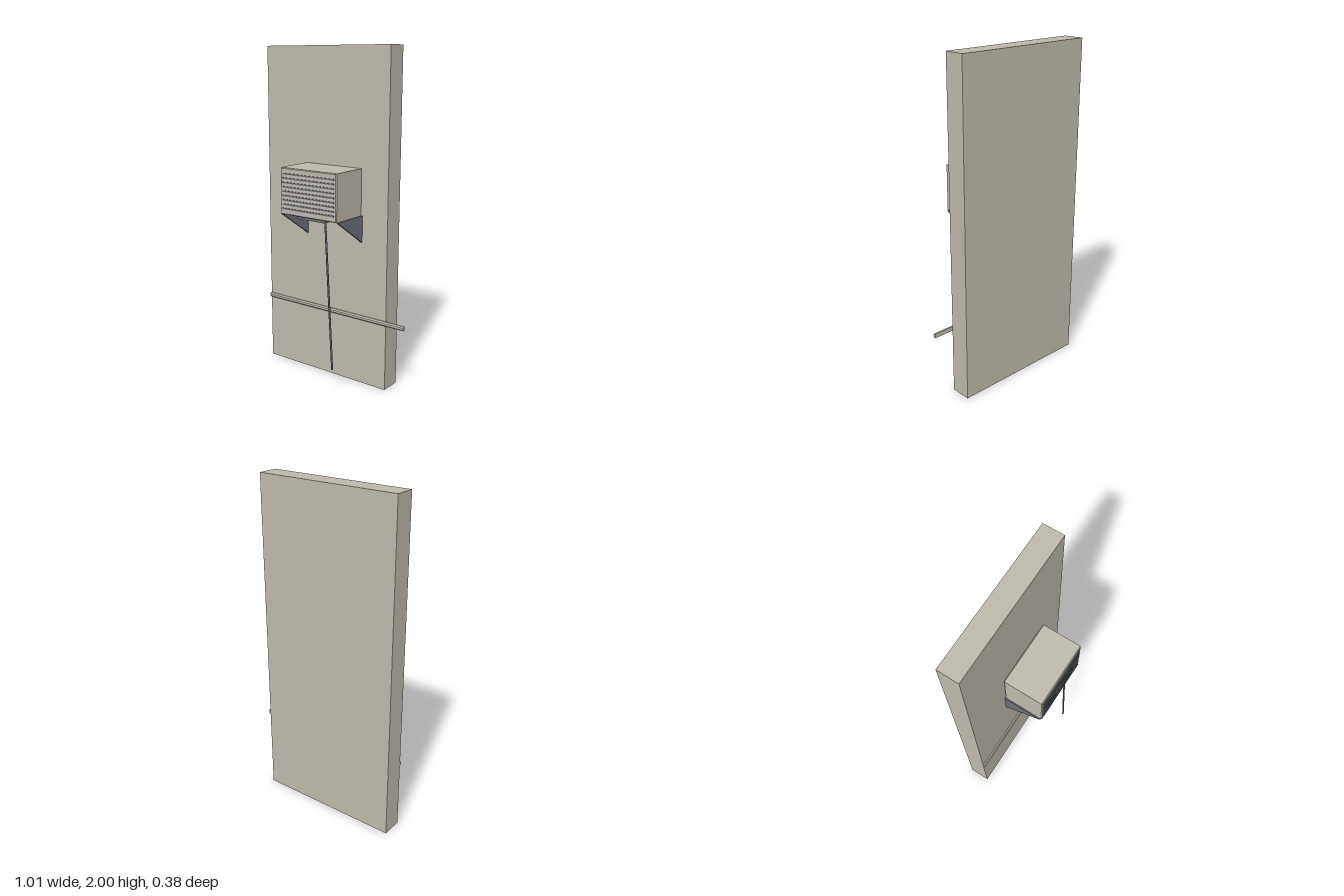
import * as THREE from 'three';

export function createModel() {
  const model = new THREE.Group();
  const beige = new THREE.MeshStandardMaterial({ color: 0xbeb9ac });
  beige.name = 'warm beige';
  const grey = new THREE.MeshStandardMaterial({ color: 0x6c7079 });
  grey.name = 'slate grey';

  const add = (name, geometry, material, x = 0, y = 0, z = 0) => {
    const mesh = new THREE.Mesh(geometry, material);
    mesh.name = name;
    mesh.position.set(x, y, z);
    model.add(mesh);
    return mesh;
  };
  // Box given by its two extreme corners
  const box = (name, material, [x0, y0, z0], [x1, y1, z1]) =>
    add(name, new THREE.BoxGeometry(x1 - x0, y1 - y0, z1 - z0), material,
      (x0 + x1) / 2, (y0 + y1) / 2, (z0 + z1) / 2);
  // Profile in (z, y) extruded along x
  const extrudeX = (points, x0, x1) => {
    const shape = new THREE.Shape(points.map(([z, y]) => new THREE.Vector2(-z, y)));
    const g = new THREE.ExtrudeGeometry(shape, { depth: x1 - x0, bevelEnabled: false });
    return g.rotateY(Math.PI / 2).translate(x0, 0, 0);
  };

  // Wall slab
  box('wall', beige, [-0.505, 0, -0.19], [0.378, 2, -0.065]);

  // Faceted pipe running past the wall's edge
  extrudePipe();
  function extrudePipe() {
    const profile = [[-0.066, 0.405], [-0.057, 0.405], [-0.051, 0.412],
      [-0.051, 0.424], [-0.057, 0.432], [-0.066, 0.432]];
    add('pipe', extrudeX(profile, -0.505, 0.505), beige);
  }

  // Air conditioner housing with small chamfers
  const w = 0.195, h = 0.1325, b = 0.005;
  const face = new THREE.Shape([[-w, -h], [w, -h], [w, h], [-w, h]].map(p => new THREE.Vector2(...p)));
  const housing = new THREE.ExtrudeGeometry(face, {
    depth: 0.237, bevelThickness: b, bevelSize: b, bevelSegments: 1,
  });
  add('housing', housing, beige, 0, 1.178, -0.06);

  // Front grille slats
  for (let i = 0; i < 9; i++) {
    const y = 1.076 + i * 0.0256;
    box('grilleSlat', grey, [-0.185, y - 0.004, 0.18], [0.185, y + 0.004, 0.187]);
  }

  // Triangular support brackets
  const triangle = [[-0.065, 0.88], [0.175, 1.04], [-0.065, 1.04]];
  for (const x of [-0.2, 0.2]) {
    add('bracket', extrudeX(triangle, x - 0.006, x + 0.006), grey);
  }

  // Drip tray under the housing
  box('dripTray', grey, [-0.1, 1.02, -0.04], [0.1, 1.042, 0.155]);

  // Slanting drain hose
  const top = new THREE.Vector3(0.1, 1.03, 0.15), end = new THREE.Vector3(0.15, 0.145, 0.15);
  add('drainHose', new THREE.TubeGeometry(new THREE.LineCurve3(top, end), 1, 0.006, 6), grey);
  add('hoseEnd', new THREE.CylinderGeometry(0.006, 0.006, 0.004, 6), grey, 0.15, 0.147, 0.15);

  return model;
}
